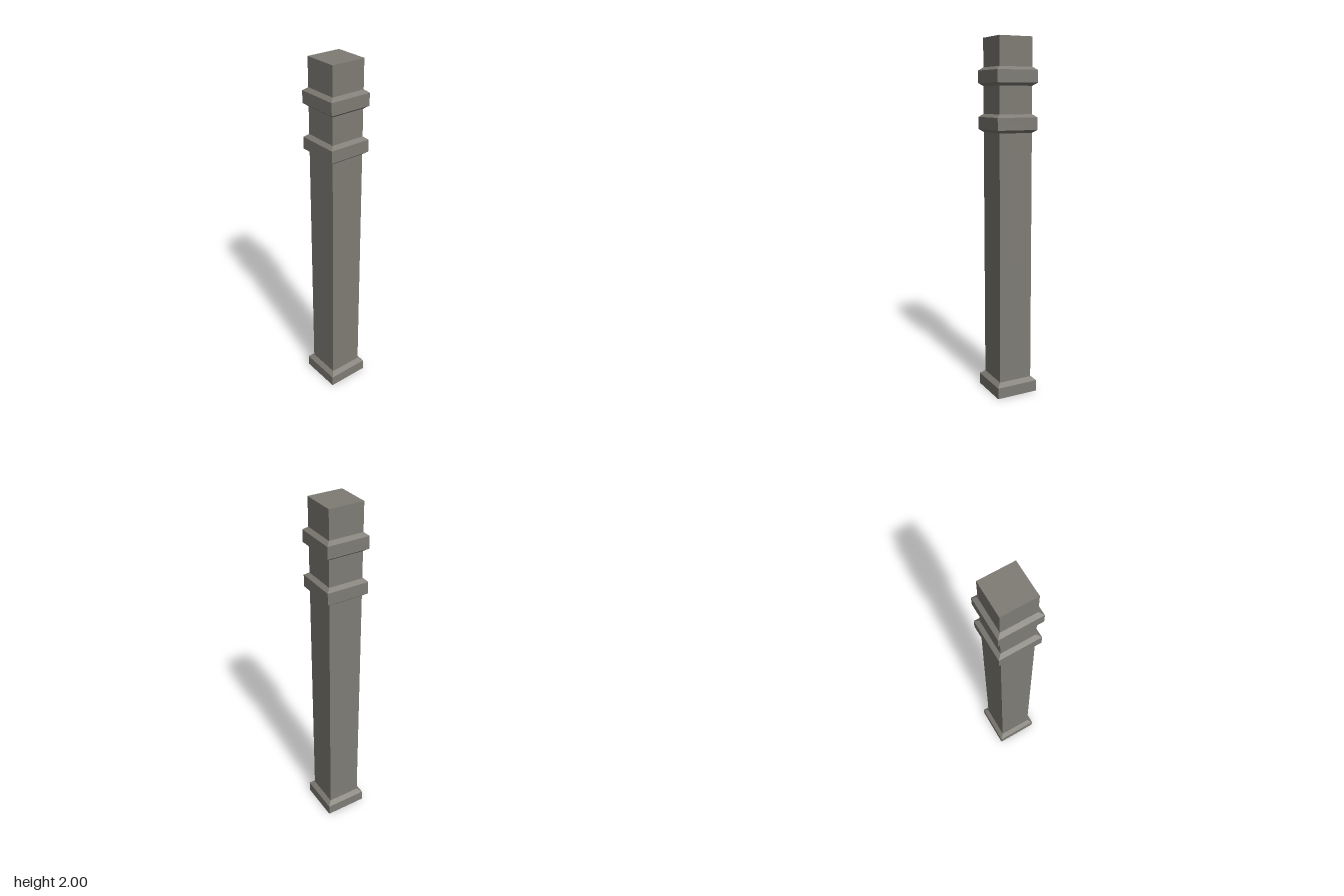
import * as THREE from 'three';

// Square-section solid from [halfWidth, y] pairs, listed bottom to top
function squareTurned(name, profile, material) {
  const points = profile.map(([half, y]) => new THREE.Vector2(half * Math.SQRT2, y));
  const geometry = new THREE.LatheGeometry(points, 4, Math.PI / 4).toNonIndexed();
  geometry.computeVertexNormals(); // crisp flat faces
  const mesh = new THREE.Mesh(geometry, material);
  mesh.name = name;
  return mesh;
}

export function createModel() {
  const stone = new THREE.MeshStandardMaterial({ color: 0x7f7c75 });
  stone.name = 'grey stone';

  const model = new THREE.Group();
  model.name = 'squarePost';
  const half = 0.098;

  // Plain shaft, closed on top
  model.add(squareTurned('shaft', [[half, 0.08], [half, 2], [0, 2]], stone));

  // Plinth with a sloped shoulder
  model.add(squareTurned('base', [[0, 0], [0.123, 0], [0.123, 0.064], [half, 0.085]], stone));

  // Two identical collars, bevelled above and below
  for (const [name, y] of [['lowerCollar', 1.494], ['upperCollar', 1.744]]) {
    const collar = squareTurned(name, [[half, 0], [0.12, 0.016], [0.12, 0.083], [half, 0.1]], stone);
    collar.position.y = y;
    model.add(collar);
  }
  return model;
}
